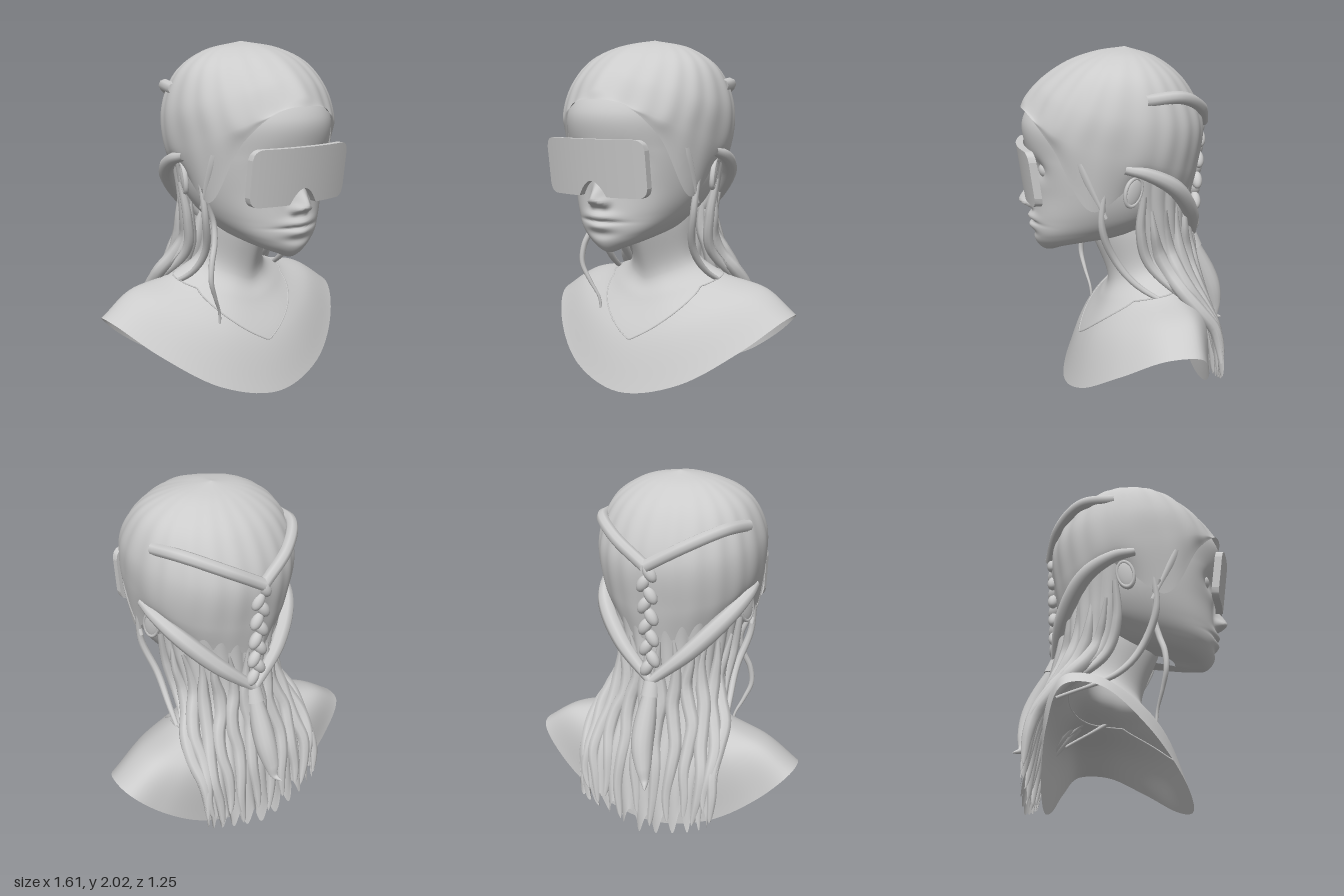
import * as THREE from 'three';

const grey = new THREE.MeshStandardMaterial({ color: 0xcccccc });
const grey2 = new THREE.MeshStandardMaterial({ color: 0xcccccc, side: THREE.DoubleSide });
const V = (p) => new THREE.Vector3(...p);
const curve = (pts, closed = false) => new THREE.CatmullRomCurve3(pts, closed);
const gauss = (d, s) => Math.exp(-(d * d) / (2 * s * s));

// Half cross-section from front to back; the two powers make front and back fuller or sharper
function section([yFront, yBack, width, zSide, zBack, zFront = zSide, lift = 0], frontPower, backPower, start = 0) {
  return Array.from({ length: 8 }, (_, i) => {
    const a = start + (Math.PI - start) * i / 7, s = Math.sin(a), c = Math.cos(a);
    const t = start ? i / 7 : Math.sin(a / 2);
    const z = c > 0
      ? zSide + (zFront - zSide) * c ** frontPower
      : zSide + (zBack - zSide) * (-c) ** backPower;
    return new THREE.Vector3(width * s, yFront + (yBack - yFront) * t + lift * s * s, z);
  });
}

// Smooth surface through half cross-sections (bottom to top), mirrored in x
function loft(rows, closed, nu, nv, tweak) {
  const rings = rows.map((half) => {
    const back = half.slice(closed ? 1 : 0, -1).reverse().map((p) => new THREE.Vector3(-p.x, p.y, p.z));
    return curve([...half, ...back], closed);
  });
  const column = (u) => curve(rings.map((r) => r.getPoint(u)));
  const at = (u, v) => column(u).getPoint(v);
  const cols = closed ? nu : nu + 1, pos = [], idx = [];
  for (let i = 0; i < cols; i++) {
    const c = column(i / nu);
    for (let j = 0; j <= nv; j++) {
      const p = c.getPoint(j / nv);
      if (tweak) tweak(p, i / nu, j / nv);
      pos.push(p.x, p.y, p.z);
    }
  }
  for (let i = 0; i < nu; i++) for (let j = 0; j < nv; j++) {
    const a = i * (nv + 1) + j, b = ((i + 1) % cols) * (nv + 1) + j;
    idx.push(a, b, b + 1, a, b + 1, a + 1);
  }
  const geo = new THREE.BufferGeometry();
  geo.setAttribute('position', new THREE.Float32BufferAttribute(pos, 3));
  geo.setIndex(idx);
  geo.computeVertexNormals();
  return { geo, at };
}

// Tube whose radius follows a rule along its length
function strand(points, radius, segs = 32, sides = 8) {
  const path = curve(points);
  const geo = new THREE.TubeGeometry(path, segs, 1, sides);
  const pos = geo.attributes.position, v = new THREE.Vector3();
  for (let i = 0; i < pos.count; i++) {
    const t = Math.floor(i / (sides + 1)) / segs, c = path.getPointAt(t);
    v.fromBufferAttribute(pos, i).sub(c).multiplyScalar(radius(t)).add(c);
    pos.setXYZ(i, v.x, v.y, v.z);
  }
  return geo;
}

export function createModel() {
  const model = new THREE.Group();
  const add = (name, geo, mat = grey, parent = model) => {
    const m = new THREE.Mesh(geo, mat);
    m.name = name;
    parent.add(m);
    return m;
  };

  // Shoulders and neck: open shell with an arched lower edge
  const bust = loft([
    [0, 0, .81, -.2, -.44, .38, .44],
    [.29, .42, .62, -.18, -.44, .28, .175],
    [.5, .64, .36, -.13, -.32, .155, .02],
    [.62, .76, .205, -.09, -.26, .1],
    [.92, 1, .19, -.06, -.21, .2],
  ].map((r) => section(r, 1.3, .6)), true, 96, 40);
  add('bust', bust.geo, grey2);

  // V-shaped neckline seam lying on the shell
  const seam = [];
  for (let i = 0; i < 72; i++) {
    const u = i / 72, fromFront = Math.min(u, 1 - u);
    seam.push(bust.at(u, .5 - .25 * Math.max(0, 1 - fromFront * 6)));
  }
  add('neckline', new THREE.TubeGeometry(curve(seam, true), 144, .005, 5, true));

  // Head, with nose, lips and eye sockets raised or sunk by rule
  const face = (p) => {
    if (p.z < .3) return;
    const { x, y } = p, ax = Math.abs(x);
    p.z += .085 * gauss(x, .03) * gauss(y - 1.13, y < 1.13 ? .022 : .06)
      + .035 * gauss(ax - .042, .016) * gauss(y - 1.115, .018)
      + .03 * gauss(x, .065) * gauss(y - 1.038, .018)
      + .026 * gauss(x, .055) * gauss(y - .98, .02)
      - .016 * gauss(x, .085) * gauss(y - 1.01, .007)
      - .014 * gauss(x, .08) * gauss(y - .945, .022)
      - .035 * gauss(ax - .15, .055) * gauss(y - 1.34, .045);
  };
  const head = loft([
    [.86, .92, .05, .2, .1, .3],
    [.83, .96, .19, .16, -.1, .47],
    [.9, 1.03, .265, .12, -.22, .535],
    [1.02, 1.1, .32, .08, -.32, .54],
    [1.2, 1.2, .365, .05, -.37, .535],
    [1.4, 1.4, .39, .05, -.39, .565],
    [1.6, 1.6, .39, .05, -.39, .585],
    [1.82, 1.82, .3, .05, -.28, .4],
    [1.94, 1.94, 0, .05, .05],
  ].map((r) => section(r, .75, 1)), true, 200, 130, face);
  add('head', head.geo);

  // Eyes and ears
  for (const s of [1, -1]) {
    add('eye', new THREE.SphereGeometry(.05, 20, 14)).position.set(s * .15, 1.335, .458);
    const ear = new THREE.Group();
    ear.name = 'ear';
    add('earShell', new THREE.SphereGeometry(1, 20, 14), grey, ear).scale.set(.018, .09, .05);
    const rim = add('earRim', new THREE.TorusGeometry(.08, .015, 8, 28), grey, ear);
    rim.rotation.y = Math.PI / 2;
    rim.scale.x = .6;
    ear.position.set(s * .405, 1.25, .01);
    ear.rotation.set(-.25, s * .35, 0);
    model.add(ear);
  }

  // Visor: box bent round the face, corners rounded, notched over the nose
  const visorGeo = new THREE.BoxGeometry(.65, 1, 1, 96, 10, 1);
  const vp = visorGeo.attributes.position;
  for (let i = 0; i < vp.count; i++) {
    const x = vp.getX(i), r = .055;
    const dx = Math.max(0, Math.abs(x) - .325 + r);
    const inset = r - Math.sqrt(Math.max(0, r * r - dx * dx));
    const notch = .085 * Math.max(0, 1 - (x / .09) ** 2);
    const y = THREE.MathUtils.lerp(1.15 + inset + notch, 1.46 - inset, vp.getY(i) + .5);
    vp.setXYZ(i, x - .015, y, .627 - .5 * x * x - .13 * (1.46 - y) + (vp.getZ(i) - .5) * .042);
  }
  visorGeo.computeVertexNormals();
  add('visor', visorGeo);

  // Hair over the skull, from the hairline (arched brow, dipping temples) up to the crown
  const hairlineHeights = [1.67, 1.64, 1.48, 1.14, 1.3, 1.2, 1.15, 1.12];
  const capRows = [
    [0, 0, .395, .06, -.38, .595],
    [1.72, 1.32, .455, .03, -.42, .57],
    [1.82, 1.58, .465, 0, -.445, .48],
    [1.92, 1.81, .39, 0, -.34, .33],
    [1.975, 1.94, .235, 0, -.18, .17],
    [2, 2, 0, 0, 0],
  ].map((r) => section(r, .75, 1));
  capRows[0].forEach((p, i) => { p.y = hairlineHeights[i]; });
  const cap = loft(capRows, true, 160, 50, (p, u, v) => {
    const k = 1 + .008 * Math.sin(v * Math.PI) * Math.cos(u * Math.PI * 44);
    p.x *= k;
    p.z *= k;
  });
  add('hairCap', cap.geo, grey2);

  // Long back hair: ridged sheet with a ragged lower edge
  const curtain = loft([
    [.2, .04, .4, -.5, -.52],
    [.42, .4, .42, -.45, -.48],
    [.64, .65, .39, -.25, -.41],
    [.85, .85, .32, -.1, -.37],
    [1.1, 1.1, .35, -.04, -.37],
    [1.35, 1.35, .4, -.01, -.41],
  ].map((r) => section(r, 1, 1, Math.PI / 2)), false, 180, 50, (p, u, v) => {
    const out = new THREE.Vector3(p.x, 0, p.z + .1).normalize();
    const ridge = Math.abs(Math.sin(u * Math.PI * 13 + Math.sin(v * 9) * .5));
    p.addScaledVector(out, .03 * (1 - v * .7) * ridge);
    p.y += .06 * (1 - v) ** 5 * Math.sin(u * 75);
  });
  add('backHair', curtain.geo, grey2);

  // Thick wavy locks laid on the sheet
  for (let i = 0; i < 12; i++) {
    const u = .05 + .9 * i / 11, pts = [];
    for (let k = 0; k <= 8; k++) {
      const p = curtain.at(u, .82 - .82 * k / 8);
      p.x += .014 * Math.sin(k * 1.7 + i * 2.1);
      p.z -= .012;
      pts.push(p);
    }
    pts[8].y += .05 * Math.sin(i * 2.7);
    add('backLock', strand(pts, (t) => .042 * Math.min(1, .2 + t * 3) * Math.sqrt(1.001 - t ** 4)));
  }

  // Mirrored bands and side locks
  const taper = (r) => (t) => r * (.3 + .7 * Math.sin(Math.PI * Math.min(1, t + .15) * .92));
  const mirrored = (name, radius, path) => {
    for (const s of [1, -1]) add(name, strand(path.map(([x, y, z]) => V([s * x, y, z])), radius, 40));
  };
  mirrored('upperBand', () => .035, [[.42, 1.74, -.05], [.36, 1.75, -.25], [.2, 1.68, -.395], [0, 1.57, -.46]]);
  mirrored('lowerBand', (t) => .025 + .025 * Math.sin(Math.PI * t),
    [[.435, 1.38, .06], [.435, 1.35, -.06], [.375, 1.26, -.22], [.21, 1.08, -.35], [0, .89, -.41]]);
  mirrored('sideLock', taper(.022), [[.4, 1.3, .16], [.375, 1.05, .18], [.32, .84, .1], [.33, .68, -.03], [.41, .5, -.36]]);
  mirrored('earLock', taper(.03), [[.39, 1.22, -.05], [.35, 1, -.04], [.32, .8, -.1], [.41, .5, -.42]]);
  mirrored('templeLock', taper(.03), [[.36, 1.55, .33], [.385, 1.38, .28], [.385, 1.1, .16]]);

  // Loose wavy strand on one side only
  const loose = Array.from({ length: 9 }, (_, i) => {
    const t = i / 8;
    return new THREE.Vector3(-.37 + .06 * t + .04 * Math.sin(t * 9.5 - 1), 1.22 - .85 * t, .2 - .03 * Math.sin(t * 8));
  });
  add('looseStrand', strand(loose, taper(.018), 60));

  // Braid down the back of the head
  for (let i = 0; i < 10; i++) {
    const t = i / 9, s = i % 2 ? 1 : -1;
    const knot = add('braidKnot', new THREE.SphereGeometry(1, 16, 12));
    knot.scale.set(.034, .055, .032);
    knot.position.set(s * .02, 1.53 - .56 * t, -.445 + .03 * t);
    knot.rotation.z = s * .55;
  }

  // Tie and curled tail
  const tie = add('tie', new THREE.CylinderGeometry(.045, .055, .085, 24));
  tie.position.set(0, .845, -.405);
  tie.rotation.x = .3;
  add('braidTail', strand([[0, .83, -.41], [0, .56, -.525], [-.02, .42, -.56], [-.035, .335, -.575], [-.055, .315, -.62]].map(V),
    (t) => .04 + .028 * Math.sin(Math.PI * t) - .037 * t ** 3, 40, 14));

  return model;
}
